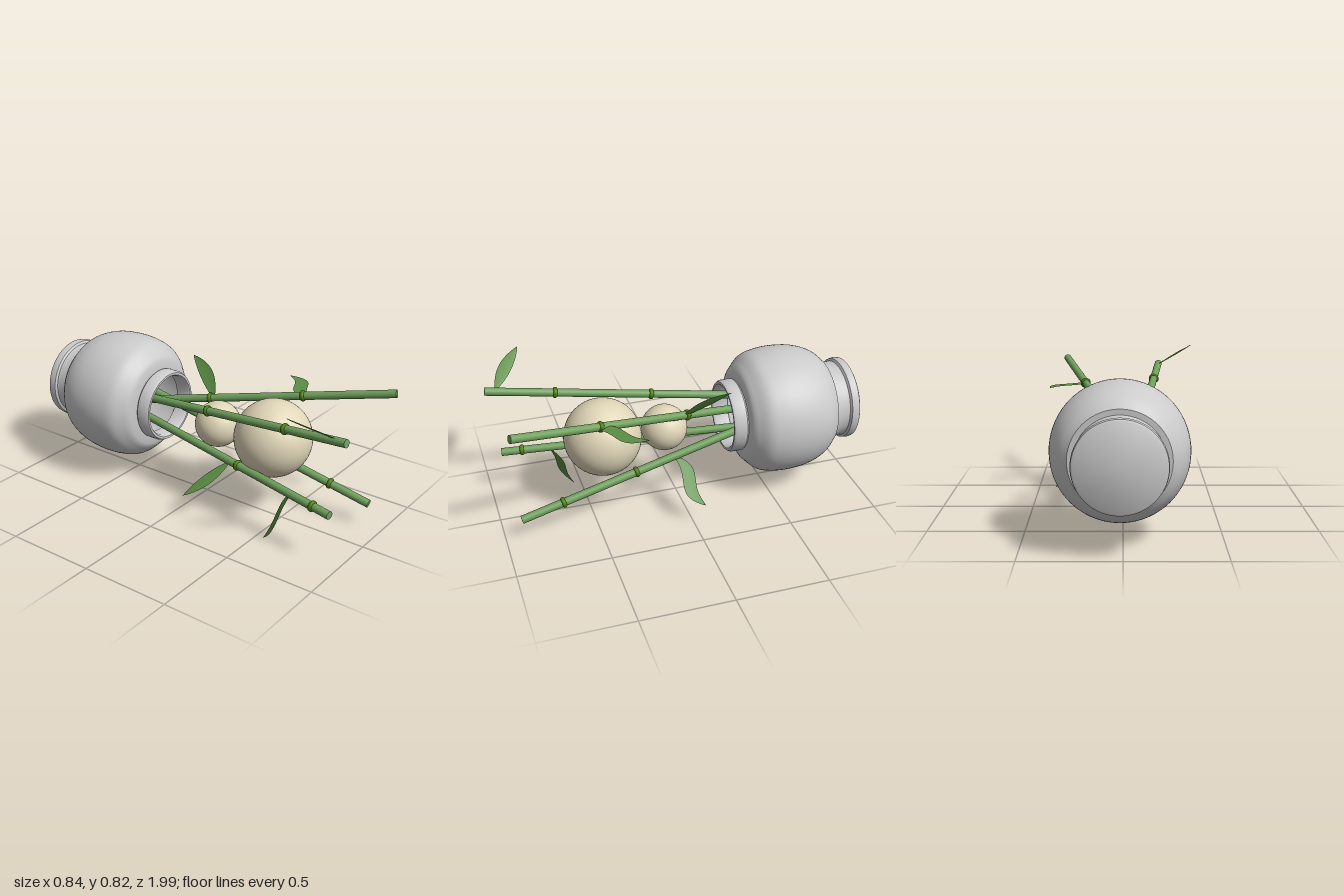
import * as THREE from 'three';
import { toCreasedNormals } from 'three/addons/utils/BufferGeometryUtils.js';

const mat = (color, side = THREE.FrontSide) => new THREE.MeshStandardMaterial({ color, side });
const V = (a) => new THREE.Vector3(...a);

export function createModel() {
  const model = new THREE.Group();
  const clay = mat(0xcccccc), pearl = mat(0xe0d6b8);
  const cane = mat(0x6f9f5c), ring = mat(0x4c7d0a);
  const leafGreen = mat(0x5c8f45, THREE.DoubleSide);

  const add = (geometry, material, name, parent = model) => {
    const mesh = new THREE.Mesh(geometry, material);
    mesh.name = name;
    parent.add(mesh);
    return mesh;
  };

  // Vase lying on its side, mouth toward +z: foot, belly, lip, then the hollow inside
  const belly = new THREE.CatmullRomCurve3([
    [0.25, -0.855], [0.3, -0.8], [0.337, -0.71], [0.351, -0.6], [0.345, -0.5], [0.325, -0.43], [0.265, -0.365],
  ].map(([r, z]) => V([r, z, 0]))).getPoints(28).map((p) => [p.x, p.y]);
  const profile = [
    [0, -1], [0.215, -1], [0.226, -0.993], [0.23, -0.972], [0.226, -0.95], [0.213, -0.942],
    [0.21, -0.93], [0.222, -0.855], ...belly,
    [0.245, -0.355], [0.192, -0.352], [0.201, -0.342], [0.201, -0.283], [0.193, -0.27], [0.18, -0.27],
    [0.172, -0.283], [0.172, -0.36], [0.24, -0.39], [0.3, -0.45], [0.322, -0.6],
    [0.3, -0.73], [0.22, -0.83], [0, -0.84],
  ].map(([r, z]) => new THREE.Vector2(r, z));
  const vase = add(toCreasedNormals(new THREE.LatheGeometry(profile, 72), 0.6), clay, 'vase');
  vase.rotation.x = Math.PI / 2;
  vase.position.set(0.015, 0.44, 0);

  // Two balls in front of the mouth
  add(new THREE.SphereGeometry(0.21, 48, 32), pearl, 'largeBall').position.set(0.025, 0.443, 0.417);
  add(new THREE.SphereGeometry(0.127, 40, 24), pearl, 'smallBall').position.set(0.01, 0.43, 0.068);

  // Bamboo stalks: tip, point at the mouth, z of each node
  const stalks = [
    ['upperRightStalk', [-0.225, 0.682, 0.99], [-0.09, 0.52, -0.27], [0.62, 0.1]],
    ['upperLeftStalk', [0.35, 0.723, 0.95], [0.02, 0.483, -0.27], [0.47, -0.04]],
    ['lowerLeftStalk', [0.207, 0.128, 0.91], [0.13, 0.4, -0.27], [0.68, 0.27]],
    ['lowerRightStalk', [-0.243, 0.277, 0.93], [-0.03, 0.335, -0.27], [0.82, 0.3]],
  ];
  const up = new THREE.Vector3(0, 1, 0);
  for (const [name, tipPoint, mouthPoint, nodes] of stalks) {
    const stalk = new THREE.Group();
    stalk.name = name;
    model.add(stalk);
    const tip = V(tipPoint), mouth = V(mouthPoint);
    const end = tip.clone().lerp(mouth, 1.22);
    const turn = new THREE.Quaternion().setFromUnitVectors(up, tip.clone().sub(mouth).normalize());
    const rod = add(new THREE.CylinderGeometry(0.022, 0.022, tip.distanceTo(end), 24), cane, 'cane', stalk);
    rod.position.copy(tip).add(end).multiplyScalar(0.5);
    rod.quaternion.copy(turn);
    for (const z of nodes) {
      const torus = new THREE.TorusGeometry(0.021, 0.009, 10, 28).rotateX(Math.PI / 2).scale(1, 1.3, 1);
      const node = add(torus, ring, 'node', stalk);
      node.position.lerpVectors(tip, mouth, (tip.z - z) / (tip.z - mouth.z));
      node.quaternion.copy(turn);
    }
  }

  // Leaves: base, tip, width, bow and S-bend within the blade, width direction
  const leaves = [
    [[-0.222, 0.685, 0.93], [-0.415, 0.82, 0.77], 0.066, 0.008, 0, [0, 0, 1]],
    [[-0.12, 0.305, 0.24], [-0.315, 0.13, 0.075], 0.066, 0.008, 0, [0, 0.12, 1]],
    [[-0.19, 0.285, 0.67], [-0.23, 0, 0.54], 0.066, 0.005, -0.02, [-1, 0, 0.8]],
    [[0.22, 0.63, 0.51], [0.415, 0.628, 0.265], 0.08, 0.008, -0.025, [0, 0, 1]],
    [[0.09, 0.53, -0.02], [0.202, 0.695, -0.245], 0.075, 0.02, 0, [0, 0, 1]],
    [[0.155, 0.325, 0.05], [0.37, 0.125, -0.055], 0.075, 0.006, -0.022, [0, 0, 1]],
  ];
  const steps = 20;
  for (const [from, to, width, bow, bend, wide] of leaves) {
    const base = V(from), tip = V(to);
    const dir = tip.clone().sub(base).normalize();
    const side = V(wide).addScaledVector(dir, -V(wide).dot(dir)).normalize();
    const face = dir.clone().cross(side);
    const positions = [], index = [];
    for (let i = 0; i <= steps; i++) {
      const t = i / steps;
      const half = (width / 2) * (Math.sin(Math.PI * t) ** 0.8) + 0.003 * (1 - t);
      const centre = base.clone().lerp(tip, t)
        .addScaledVector(side, bow * Math.sin(Math.PI * t) + bend * Math.sin(2 * Math.PI * t));
      for (const s of [-1, 0, 1]) {
        const p = centre.clone().addScaledVector(side, s * half).addScaledVector(face, s === 0 ? 0.003 : 0);
        positions.push(p.x, p.y, p.z);
      }
      if (i < steps) for (const k of [0, 1]) {
        const a = i * 3 + k;
        index.push(a, a + 3, a + 1, a + 1, a + 3, a + 4);
      }
    }
    const geometry = new THREE.BufferGeometry();
    geometry.setAttribute('position', new THREE.Float32BufferAttribute(positions, 3));
    geometry.setIndex(index);
    geometry.computeVertexNormals();
    add(geometry, leafGreen, 'leaf');
  }
  return model;
}
